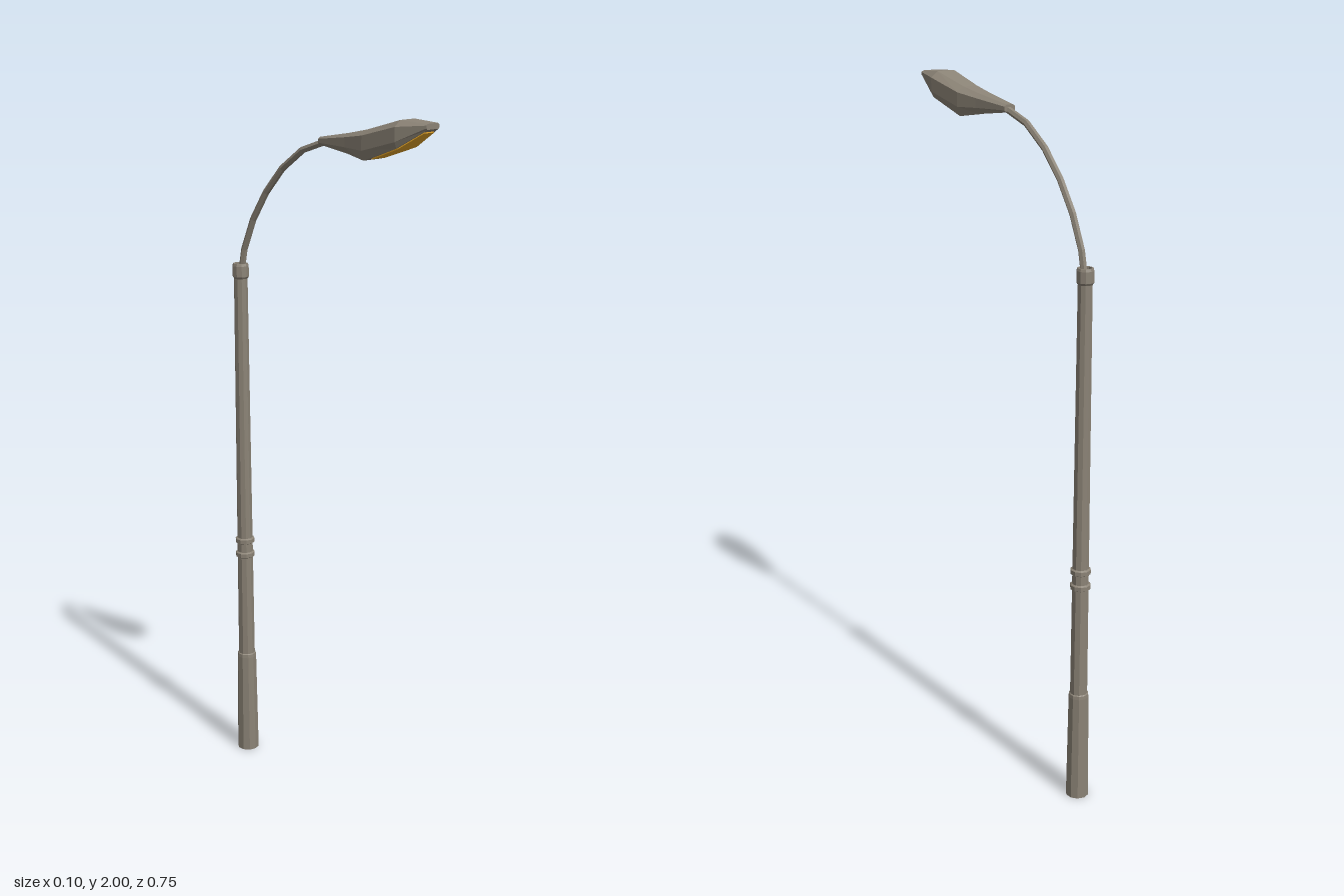
import * as THREE from 'three';

const steel = new THREE.MeshStandardMaterial({ color: 0x8b8376, side: THREE.DoubleSide });
steel.name = 'warm grey steel';
const amber = new THREE.MeshStandardMaterial({ color: 0xfab52e });
amber.name = 'amber glass';

const POLE_X = 0.002;
const POLE_Z = -0.34;

function flat(geometry) {
  const g = geometry.index ? geometry.toNonIndexed() : geometry;
  g.computeVertexNormals();
  return g;
}

// Faceted body through closed rings of [x, y, z], counter-clockwise seen from +z
function loft(rings) {
  const pos = [];
  const tri = (a, b, c) => pos.push(...a, ...b, ...c);
  const n = rings[0].length;
  for (let i = 0; i + 1 < rings.length; i++) {
    for (let j = 0; j < n; j++) {
      const k = (j + 1) % n;
      tri(rings[i][j], rings[i][k], rings[i + 1][k]);
      tri(rings[i][j], rings[i + 1][k], rings[i + 1][j]);
    }
  }
  const first = rings[0], last = rings[rings.length - 1];
  for (let j = 1; j + 1 < n; j++) {
    tri(first[0], first[j + 1], first[j]);
    tri(last[0], last[j], last[j + 1]);
  }
  const g = new THREE.BufferGeometry();
  g.setAttribute('position', new THREE.Float32BufferAttribute(pos, 3));
  return flat(g);
}

// Turned part standing on the pole axis, from [radius, y] pairs
function turned(name, profile) {
  const points = profile.map(([r, y]) => new THREE.Vector2(r, y));
  const mesh = new THREE.Mesh(flat(new THREE.LatheGeometry(points, 10)), steel);
  mesh.position.set(POLE_X, 0, POLE_Z);
  mesh.name = name;
  return mesh;
}

export function createModel() {
  const model = new THREE.Group();
  model.name = 'streetLamp';

  // Hollow pole: wide base sleeve, tapering shaft, top collar
  model.add(turned('baseSleeve', [[0.033, 0], [0.029, 0.315], [0.028, 0.325], [0.025, 0.327]]));
  model.add(turned('shaft', [[0.025, 0.325], [0.02, 1.52]]));
  model.add(turned('topCollar', [[0.02, 1.508], [0.024, 1.514], [0.024, 1.545], [0.022, 1.552], [0.017, 1.552], [0.017, 1.51]]));

  // Pair of decorative rings
  for (const y of [0.655, 0.7]) {
    model.add(turned('ring', [[0.022, y - 0.01], [0.029, y - 0.006], [0.029, y + 0.006], [0.022, y + 0.01]]));
  }

  // Curved arm
  const path = new THREE.CatmullRomCurve3([
    [1.5, -0.342], [1.56, -0.333], [1.66, -0.297], [1.756, -0.239],
    [1.84, -0.164], [1.893, -0.09], [1.925, 0.005],
  ].map(([y, z]) => new THREE.Vector3(POLE_X, y, z)));
  const arm = new THREE.Mesh(flat(new THREE.TubeGeometry(path, 6, 0.0095, 6)), steel);
  arm.name = 'arm';
  model.add(arm);

  // Lamp head: z, half widths (top, side, bottom), heights (top, upper side, lower side, bottom)
  const sections = [
    [-0.01, 0.010, 0.018, 0.010, 1.936, 1.931, 1.921, 1.915],
    [0.10, 0.017, 0.033, 0.023, 1.954, 1.944, 1.918, 1.901],
    [0.17, 0.022, 0.045, 0.036, 1.968, 1.954, 1.915, 1.889],
    [0.288, 0.028, 0.050, 0.043, 2.000, 1.984, 1.946, 1.930],
    [0.372, 0.020, 0.026, 0.022, 1.995, 1.991, 1.984, 1.980],
  ];
  const head = new THREE.Mesh(loft(sections.map(([z, wt, w, wb, t, u, l, b]) => [
    [-wb, b, z], [wb, b, z], [w, l, z], [w, u, z],
    [wt, t, z], [-wt, t, z], [-w, u, z], [-w, l, z],
  ])), steel);
  head.name = 'lampHead';
  model.add(head);

  // Thin lens plate along the slanted underside: z, half width, height
  const lens = new THREE.Mesh(loft([
    [0.190, 0.026, 1.896], [0.288, 0.038, 1.930], [0.360, 0.020, 1.973],
  ].map(([z, w, y]) => [
    [-w, y - 0.003, z], [w, y - 0.003, z], [w, y + 0.003, z], [-w, y + 0.003, z],
  ])), amber);
  lens.name = 'lens';
  model.add(lens);

  return model;
}
